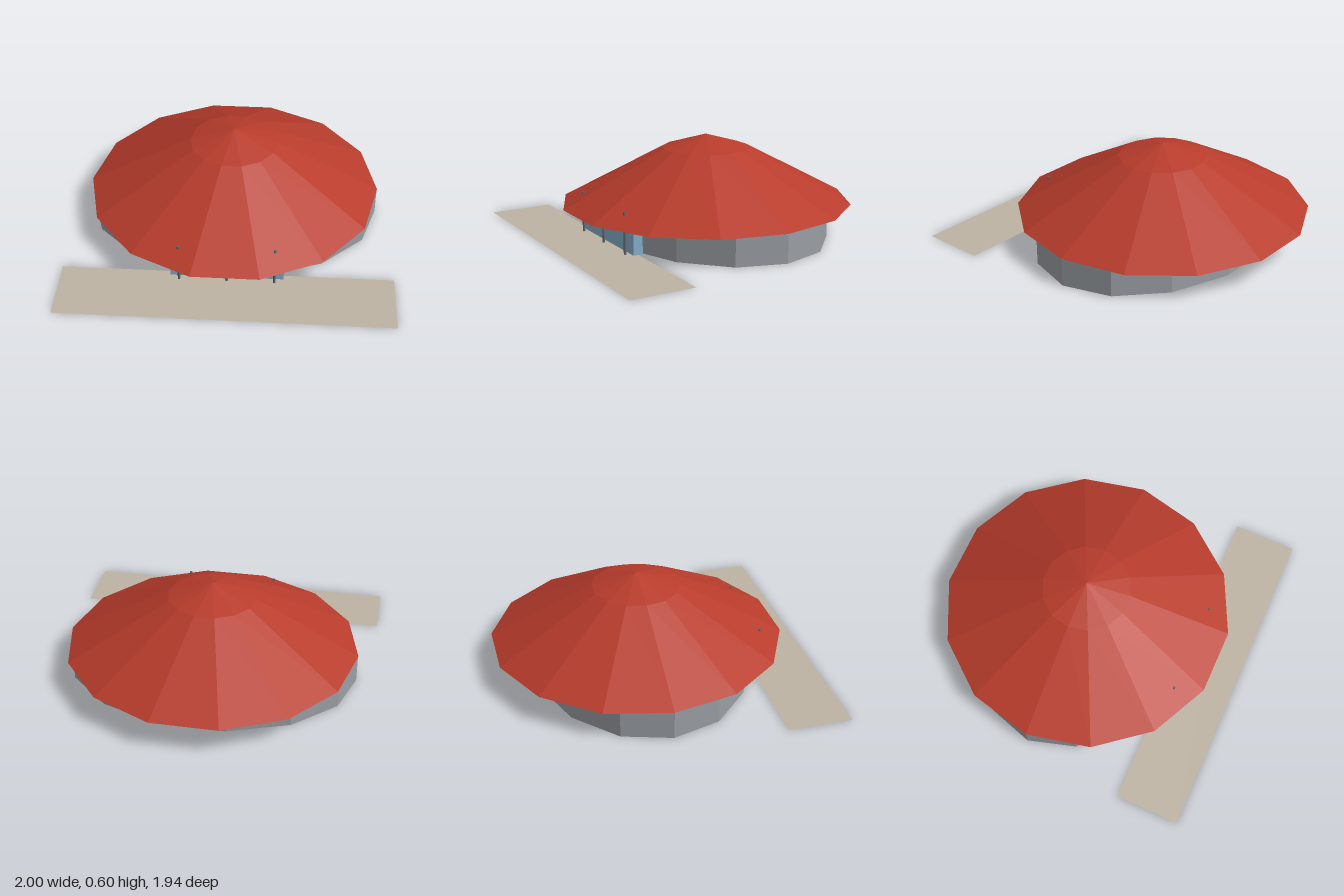
import * as THREE from 'three';

const SIDES = 14;
const CENTRE_Z = -0.085;

function paint(name, color, doubleSided = false) {
  const m = new THREE.MeshStandardMaterial({ color, flatShading: true });
  m.name = name;
  if (doubleSided) m.side = THREE.DoubleSide;
  return m;
}

// Faceted shell turned around the building's axis, with a corner on +x
function shell(profile) {
  const points = profile.map(([r, y]) => new THREE.Vector2(r, y));
  return new THREE.LatheGeometry(points, SIDES).rotateY(Math.PI / 2);
}

export function createModel() {
  const group = new THREE.Group();
  group.name = 'pavilion';

  const roofRed = paint('roofRed', 0xb83c2c, true);
  const wallGrey = paint('wallGrey', 0x9a9ea3, true);
  const glassBlue = paint('glassBlue', 0x86adca);
  const postGrey = paint('postGrey', 0x5f676e);
  const pavingBeige = paint('pavingBeige', 0xbdb3a3, true);

  const add = (name, geometry, material, x, y, z) => {
    const mesh = new THREE.Mesh(geometry, material);
    mesh.name = name;
    mesh.position.set(x, y, z);
    group.add(mesh);
    return mesh;
  };

  // Two-pitch roof, open underneath
  add('roof', shell([[0.912, 0.176], [0.275, 0.517], [0, 0.6]]), roofRed, 0, 0, CENTRE_Z);

  // Oval wall ring with a flat ceiling, open at the floor
  const walls = shell([[0.91, 0], [0.91, 0.174], [0, 0.174]]);
  walls.scale(1, 1, 0.68 / 0.91);
  add('walls', walls, wallGrey, 0, 0, CENTRE_Z);

  // Glazed entrance set through the front wall
  add('entranceGlass', new THREE.BoxGeometry(0.68, 0.163, 0.06), glassBlue, 0, 0.0835, 0.575);

  // Porch posts, the outer two just piercing the roof
  for (const x of [-0.285, 0, 0.285]) {
    add('porchPost', new THREE.CylinderGeometry(0.008, 0.008, 0.255, 8), postGrey, x, 0.1275, 0.633);
  }

  // Paved strip in front
  add('forecourt', new THREE.PlaneGeometry(2, 0.398).rotateX(-Math.PI / 2), pavingBeige, 0, 0, 0.77);

  return group;
}
